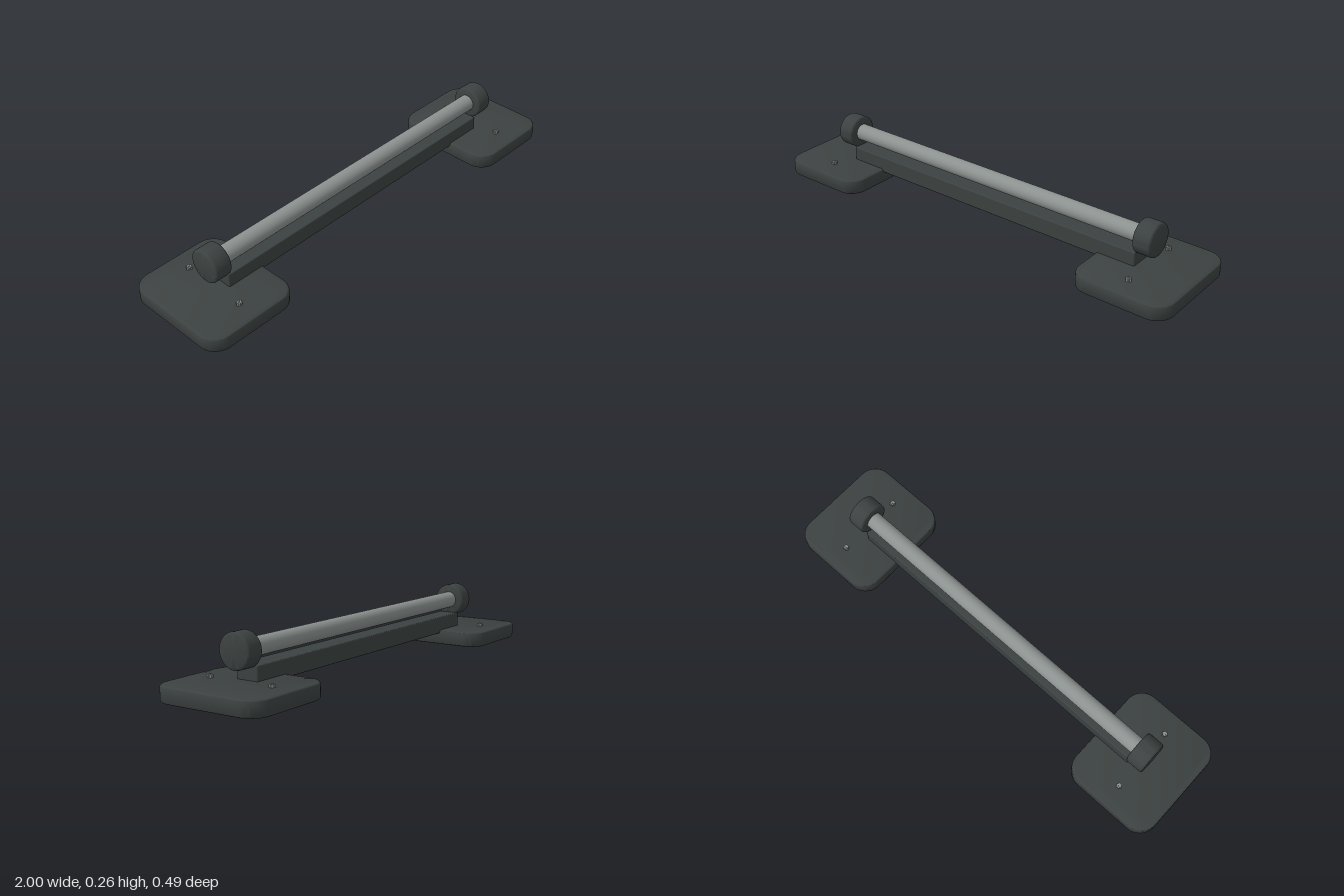
import * as THREE from 'three';
import { RoundedBoxGeometry } from 'three/addons/geometries/RoundedBoxGeometry.js';
import { toCreasedNormals } from 'three/addons/utils/BufferGeometryUtils.js';

const darkMetal = new THREE.MeshStandardMaterial({ name: 'dark metal', color: 0x3c4241 });
const steel = new THREE.MeshStandardMaterial({ name: 'brushed steel', color: 0x8c9290 });

function part(name, geometry, material, x = 0, y = 0, z = 0) {
  const mesh = new THREE.Mesh(geometry, material);
  mesh.name = name;
  mesh.position.set(x, y, z);
  return mesh;
}

// Rounded slab lying flat, with softened top and bottom edges
function slab(width, depth, height, radius, bevel) {
  const w = width / 2 - bevel, d = depth / 2 - bevel, r = radius - bevel;
  const shape = new THREE.Shape();
  shape.absarc(w - r, d - r, r, 0, Math.PI / 2);
  shape.absarc(-w + r, d - r, r, Math.PI / 2, Math.PI);
  shape.absarc(-w + r, -d + r, r, Math.PI, Math.PI * 1.5);
  shape.absarc(w - r, -d + r, r, Math.PI * 1.5, Math.PI * 2);
  shape.closePath();
  const geometry = new THREE.ExtrudeGeometry(shape, {
    depth: height - 2 * bevel, bevelSize: bevel, bevelThickness: bevel, bevelSegments: 4, curveSegments: 10,
  });
  geometry.translate(0, 0, bevel).rotateX(-Math.PI / 2);
  return toCreasedNormals(geometry, 0.6);
}

// Disc with rounded rims, turned to lie along x
function endCap(radius, length, bevel) {
  const h = length / 2, points = [new THREE.Vector2(0, -h)];
  for (const side of [-1, 1]) {
    for (let i = 0; i <= 4; i++) {
      const a = (side < 0 ? i - 4 : i) * Math.PI / 8;
      points.push(new THREE.Vector2(radius - bevel + bevel * Math.cos(a), side * (h - bevel) + bevel * Math.sin(a)));
    }
  }
  points.push(new THREE.Vector2(0, h));
  return toCreasedNormals(new THREE.LatheGeometry(points, 48).rotateZ(Math.PI / 2), 0.6);
}

// Six-pointed screw head
function screwHead() {
  const shape = new THREE.Shape();
  for (let i = 0; i < 12; i++) {
    const a = i * Math.PI / 6, r = i % 2 ? 0.009 : 0.013;
    shape[i ? 'lineTo' : 'moveTo'](r * Math.cos(a), r * Math.sin(a));
  }
  shape.closePath();
  return new THREE.ExtrudeGeometry(shape, { depth: 0.014, bevelEnabled: false }).rotateX(-Math.PI / 2);
}

export function createModel() {
  const model = new THREE.Group();
  model.name = 'pushUpBar';

  // Cross beam and grip
  model.add(part('beam', new RoundedBoxGeometry(1.5, 0.075, 0.098, 3, 0.005), darkMetal, 0, 0.0885, 0));
  const grip = new THREE.CylinderGeometry(0.037, 0.037, 1.52, 40).rotateZ(Math.PI / 2);
  model.add(part('grip', grip, steel, 0, 0.186, 0));

  // Feet, end caps and screws on each side
  const footGeometry = slab(0.424, 0.49, 0.066, 0.08, 0.01);
  const capGeometry = endCap(0.072, 0.08, 0.01);
  const headGeometry = screwHead();
  const tipGeometry = new THREE.CylinderGeometry(0.004, 0.004, 0.005, 12);
  for (const side of [-1, 1]) {
    const name = side > 0 ? 'left' : 'right';
    model.add(part(name + 'Foot', footGeometry, darkMetal, side * 0.788, 0, 0));
    model.add(part(name + 'EndCap', capGeometry, darkMetal, side * 0.785, 0.185, 0));
    for (const z of [-0.147, 0.147]) {
      const end = z > 0 ? 'Front' : 'Back';
      model.add(part(name + end + 'Screw', headGeometry, steel, side * 0.788, 0.064, z));
      model.add(part(name + end + 'ScrewTip', tipGeometry, steel, side * 0.788, 0.079, z));
    }
  }
  return model;
}
